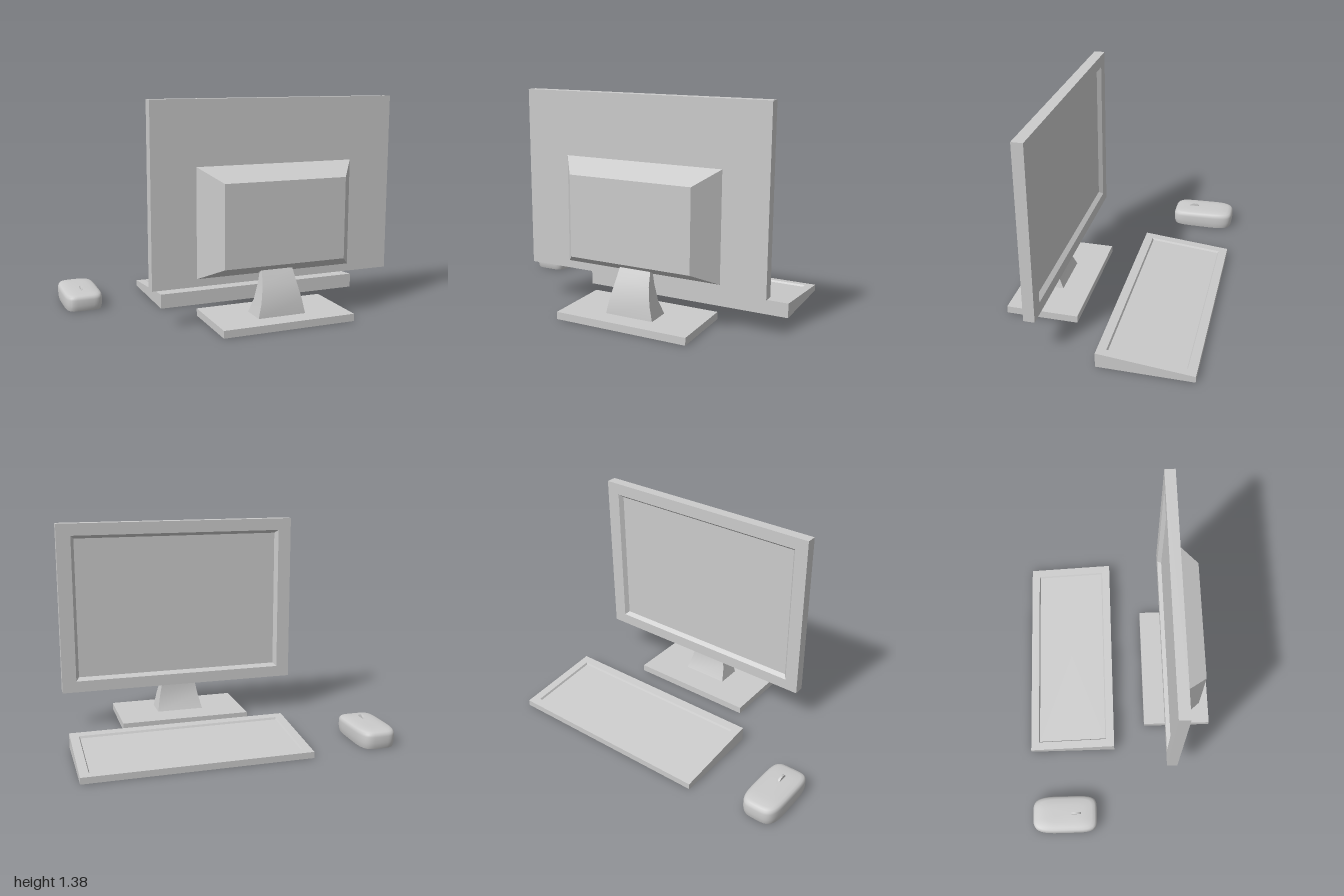
import * as THREE from 'three';
import { toCreasedNormals } from 'three/addons/utils/BufferGeometryUtils.js';

const grey = new THREE.MeshStandardMaterial({ color: 0xcccccc });
const shell = new THREE.MeshStandardMaterial({ color: 0xcccccc, side: THREE.DoubleSide });

// Skin a stack of equal-length rings; rings run counter-clockwise seen from the end side.
function loft(rings, capStart, capEnd, crease = 0.1) {
  const n = rings[0].length;
  const pos = [];
  const tri = (a, b, c) => pos.push(...a, ...b, ...c);
  for (let r = 0; r < rings.length - 1; r++) {
    const a = rings[r], b = rings[r + 1];
    for (let i = 0; i < n; i++) {
      const j = (i + 1) % n;
      tri(a[i], a[j], b[j]);
      tri(a[i], b[j], b[i]);
    }
  }
  const cap = (ring, flip) => {
    const c = [0, 1, 2].map(k => ring.reduce((s, p) => s + p[k], 0) / n);
    for (let i = 0; i < n; i++) {
      const p = ring[i], q = ring[(i + 1) % n];
      if (flip) tri(c, q, p); else tri(c, p, q);
    }
  };
  if (capStart) cap(rings[0], true);
  if (capEnd) cap(rings[rings.length - 1], false);
  const g = new THREE.BufferGeometry();
  g.setAttribute('position', new THREE.Float32BufferAttribute(pos, 3));
  return toCreasedNormals(g, crease);
}

// Horizontal rectangle whose height may depend on z.
const flatRing = (x0, x1, z0, z1, y) =>
  [[x0, z1], [x1, z1], [x1, z0], [x0, z0]].map(([x, z]) => [x, y(z), z]);
// Upright rectangle at a given z.
const uprightRing = (x0, x1, y0, y1, z) =>
  [[x0, y0, z], [x1, y0, z], [x1, y1, z], [x0, y1, z]];

function add(parent, name, geometry, material = grey) {
  const mesh = new THREE.Mesh(geometry, material);
  mesh.name = name;
  parent.add(mesh);
  return mesh;
}

function createMonitor() {
  const monitor = new THREE.Group();
  monitor.name = 'monitor';

  // Screen sunk behind a bevelled opening (facing -z), then bezel, sides and back
  add(monitor, 'screenPanel', loft([
    uprightRing(-0.49, 0.886, 0.346, 1.275, 0.334),
    uprightRing(-0.511, 0.907, 0.325, 1.296, 0.307),
    uprightRing(-0.6, 1, 0.25, 1.375, 0.307),
    uprightRing(-0.6, 1, 0.25, 1.375, 0.377),
  ], true, true));

  // Tapered housing on the rear
  add(monitor, 'rearHousing', loft([
    uprightRing(-0.318, 0.717, 0.298, 0.977, 0.377),
    uprightRing(-0.2, 0.597, 0.38, 0.892, 0.537),
  ], true, true));

  // Curved neck: [half width, back z, front z, back y, front y]
  const neckX = 0.188;
  const neckRings = [
    [0.158, 0.351, 0.513, 0.047, 0.047],
    [0.137, 0.392, 0.506, 0.14, 0.14],
    [0.115, 0.401, 0.473, 0.245, 0.245],
    [0.104, 0.401, 0.433, 0.311, 0.327],
  ].map(([w, zb, zf, yb, yf]) =>
    flatRing(neckX - w, neckX + w, zb, zf, z => (z === zb ? yb : yf)));
  add(monitor, 'neck', loft(neckRings, false, false, 0.5), shell);

  // Base plate, open underneath and around the neck
  const base = y => flatRing(-0.247, 0.622, 0.172, 0.637, () => y);
  add(monitor, 'base', loft([base(0), base(0.047), neckRings[0]], false, false), shell);
  return monitor;
}

// Wedge-shaped keyboard, open underneath, with a sunken key field
function createKeyboard(parent) {
  const slope = drop => z => 0.04 + 0.055 * (z + 0.637) / 0.59 - drop;
  const ring = (inset, y) =>
    flatRing(-0.415 + inset, 1 - inset, -0.637 + inset, -0.047 - inset, y);
  add(parent, 'keyboard', loft([
    ring(0, () => 0), ring(0, slope(0)), ring(0.055, slope(0)), ring(0.062, slope(0.012)),
  ], false, true), shell);
}

function createMouse() {
  const mouse = new THREE.Group();
  mouse.name = 'mouse';
  const cx = -0.878, cz = -0.397, sides = 48;
  // Rounded-rectangle outline, narrower and lower towards the ends
  const ring = (scale, y) => Array.from({ length: sides }, (_, i) => {
    const t = (i / sides) * Math.PI * 2;
    const c = Math.cos(t), s = -Math.sin(t);
    const p = s > 0 ? 0.4 : 0.5;
    const x = 0.122 * Math.sign(c) * Math.abs(c) ** p;
    const z = 0.218 * Math.sign(s) * Math.abs(s) ** p;
    const v = z * scale / 0.218;
    const lift = 0.97 - 0.05 * v - 0.08 * Math.max(0, -v - 0.6);
    return [cx + x * scale, y * lift, cz + z * (1 - (1 - scale) * 0.8)];
  });
  const profile = [
    [0.95, 0], [0.98, 0.015], [1, 0.04], [1, 0.08], [0.98, 0.095],
    [0.92, 0.106], [0.8, 0.112], [0.5, 0.116], [0.2, 0.117],
  ];
  add(mouse, 'mouseBody', loft(profile.map(([s, y]) => ring(s, y)), true, true, 0.8));

  // Scroll wheel
  const wheel = add(mouse, 'scrollWheel',
    toCreasedNormals(new THREE.CylinderGeometry(0.042, 0.042, 0.014, 24), 0.6));
  wheel.rotation.z = Math.PI / 2;
  wheel.position.set(-0.88, 0.089, -0.322);
  return mouse;
}

export function createModel() {
  const model = new THREE.Group();
  model.name = 'desktopSet';
  model.add(createMonitor(), createMouse());
  createKeyboard(model);
  return model;
}
